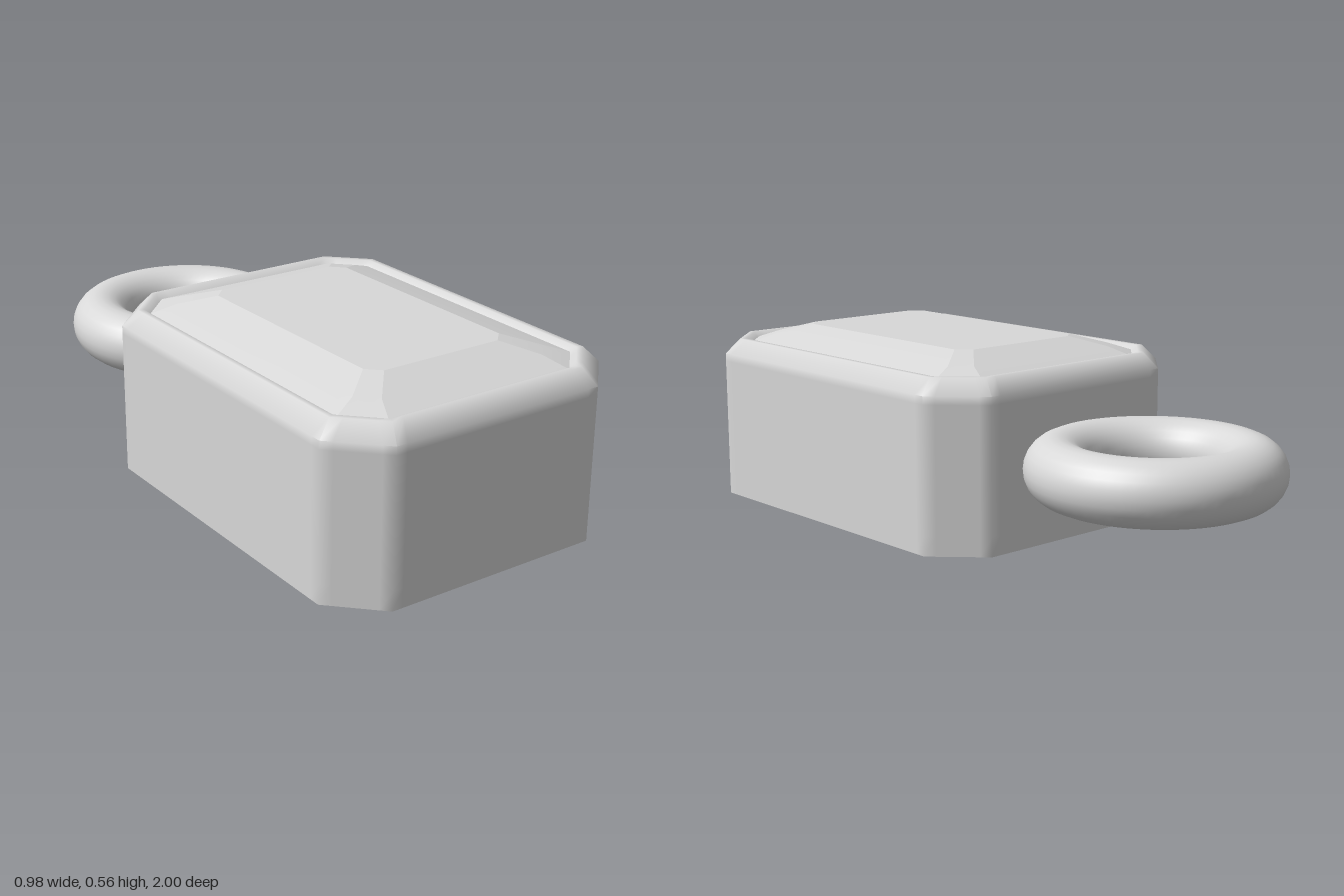
import * as THREE from 'three';
import { toCreasedNormals } from 'three/addons/utils/BufferGeometryUtils.js';

const HALF_X = 0.49, HALF_Z = 0.652, CUT = 0.14, CENTRE_Z = 0.348;

// Octagon with cut corners, inset by d; extra points beside each corner keep the sides flat
function outline(d) {
  const x = HALF_X - d, z = HALF_Z - d, c = Math.max(CUT - d * 0.55, 0.04), s = 0.035;
  const corners = [
    [x, -z + c], [x, z - c], [x - c, z], [-x + c, z],
    [-x, z - c], [-x, -z + c], [-x + c, -z], [x - c, -z],
  ];
  const pts = [];
  corners.forEach(([ax, az], i) => {
    const [bx, bz] = corners[(i + 1) % 8];
    const t = Math.min(s / Math.hypot(bx - ax, bz - az), 0.3);
    for (const k of [0, t, 1 - t]) pts.push([ax + (bx - ax) * k, az + (bz - az) * k]);
  });
  return pts;
}

// Join octagonal rings given as [inset, height]; optionally close both ends
function loft(profile, crease, capped) {
  const pos = [], idx = [];
  let n = 0;
  for (const [d, y] of profile) {
    const pts = outline(d);
    n = pts.length;
    for (const [x, z] of pts) pos.push(x, y, z + CENTRE_Z);
  }
  for (let i = 0; i < profile.length - 1; i++) {
    for (let j = 0; j < n; j++) {
      const a = i * n + j, b = i * n + (j + 1) % n, c = a + n, e = b + n;
      idx.push(a, c, b, b, c, e);
    }
  }
  if (capped) {
    const last = (profile.length - 1) * n, bottom = profile.length * n, top = bottom + 1;
    pos.push(0, profile[0][1], CENTRE_Z, 0, profile[profile.length - 1][1], CENTRE_Z);
    for (let j = 0; j < n; j++) {
      const k = (j + 1) % n;
      idx.push(j, k, bottom, last + j, top, last + k);
    }
  }
  const g = new THREE.BufferGeometry();
  g.setAttribute('position', new THREE.Float32BufferAttribute(pos, 3));
  g.setIndex(idx);
  return toCreasedNormals(g, crease);
}

export function createModel() {
  const model = new THREE.Group();
  model.name = 'pendant';
  const metal = new THREE.MeshStandardMaterial({ color: 0xd8d8d8 });
  metal.name = 'pale grey';

  const add = (name, geometry) => {
    const mesh = new THREE.Mesh(geometry, metal);
    mesh.name = name;
    model.add(mesh);
    return mesh;
  };

  // Hollow setting: outer wall, bevelled rim, shallow seat, inner wall and foot ledge
  add('setting', loft([
    [0, 0], [0, 0.06], [0, 0.45], [0, 0.475], [0.045, 0.522], [0.062, 0.522], [0.08, 0.506],
    [0.15, 0.46], [0.15, 0.27], [0.14, 0.27], [0.135, 0.04], [0.07, 0.03],
    [0.06, 0.015], [0.045, 0.015], [0.04, 0], [0, 0],
  ], 0.9, false));

  // Faceted stone with a flat table, its underside showing through the hollow
  add('stone', loft([
    [0.148, 0.4], [0.148, 0.47], [0.079, 0.508], [0.155, 0.535], [0.25, 0.565],
  ], 0.12, true));

  // Hanging ring
  const ring = add('hangingRing', new THREE.TorusGeometry(0.285, 0.097, 24, 64));
  ring.rotation.x = Math.PI / 2;
  ring.position.set(0, 0.262, -0.618);

  return model;
}
